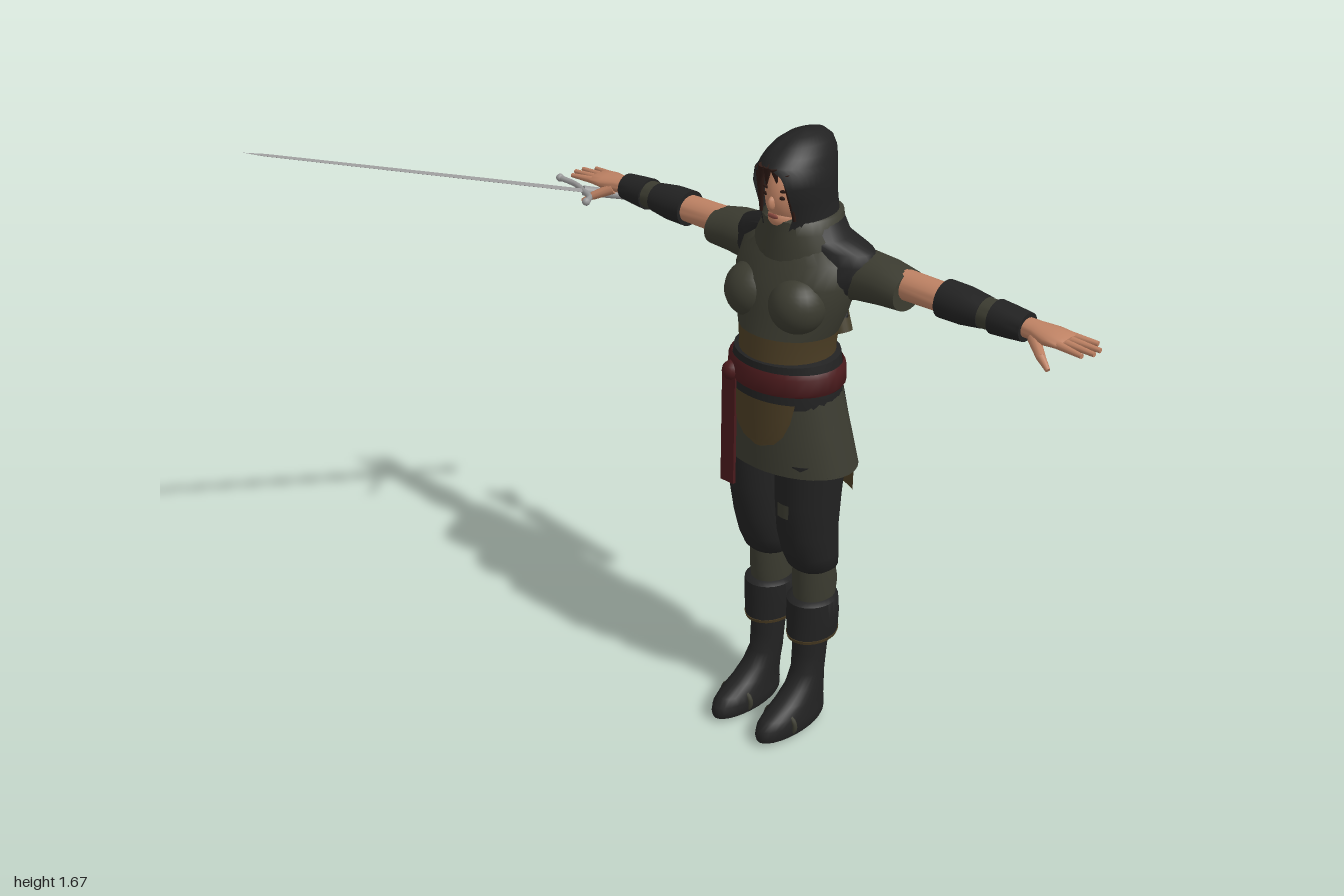
import * as THREE from 'three';
import { toCreasedNormals } from 'three/addons/utils/BufferGeometryUtils.js';

const mat = (name, color) => new THREE.MeshStandardMaterial({ name, color, side: THREE.DoubleSide });
const M = {
  dark: mat('charcoal cloth', 0x222222), olive: mat('olive cloth', 0x3b3b30), brown: mat('brown leather', 0x4b3d24),
  red: mat('dark red sash', 0x4a1a1c), skin: mat('skin', 0xbd8163), steel: mat('steel', 0x9a9a9a),
  hair: mat('dark hair', 0x2c1914), quiver: mat('quiver hide', 0x453f2c), lips: mat('lips', 0x8a4a40),
};
const TAU = Math.PI * 2;

function mesh(parent, name, geo, material, pos = [0, 0, 0]) {
  const m = new THREE.Mesh(geo, material);
  m.name = name;
  m.position.set(...pos);
  parent.add(m);
  return m;
}

// Skin over elliptical sections listed bottom to top: [y, cx, cz, rx, rz, startAngle, endAngle]; angle 0 faces +z
function loft(sections, n = 28, caps = false) {
  let s = sections;
  if (caps) {
    const a = [...s[0]], b = [...s[s.length - 1]];
    a[3] = a[4] = b[3] = b[4] = 0;
    s = [a, ...s, b];
  }
  const pos = [], idx = [];
  s.forEach(([y, cx, cz, rx, rz, a0 = 0, a1 = TAU], j) => {
    for (let i = 0; i <= n; i++) {
      const a = a0 + (a1 - a0) * i / n;
      pos.push(cx + rx * Math.sin(a), y, cz + rz * Math.cos(a));
      if (j && i < n) {
        const p = (j - 1) * (n + 1) + i, q = p + n + 1;
        idx.push(p, p + 1, q + 1, p, q + 1, q);
      }
    }
  });
  const g = new THREE.BufferGeometry();
  g.setAttribute('position', new THREE.Float32BufferAttribute(pos, 3));
  g.setIndex(idx);
  return toCreasedNormals(g, 0.95);
}

function ball(parent, name, material, pos, r, seg = 24) {
  const m = mesh(parent, name, new THREE.SphereGeometry(1, seg, Math.round(seg * 0.7)), material, pos);
  m.scale.set(...r);
  return m;
}

// Tapered round bar between two points
function bar(parent, name, material, a, b, r0, r1, seg = 10) {
  const A = new THREE.Vector3(...a), B = new THREE.Vector3(...b), d = B.clone().sub(A);
  const m = mesh(parent, name, new THREE.CylinderGeometry(r1, r0, d.length(), seg), material);
  m.position.copy(A).add(B).multiplyScalar(0.5);
  m.quaternion.setFromUnitVectors(new THREE.Vector3(0, 1, 0), d.normalize());
  return m;
}

function buildHead(body) {
  const head = new THREE.Group();
  head.name = 'head';
  body.add(head);
  ball(head, 'face', M.skin, [0, 1.51, -0.272], [0.062, 0.088, 0.085]);
  ball(head, 'jaw', M.skin, [0, 1.455, -0.25], [0.043, 0.035, 0.057]);
  ball(head, 'nose', M.skin, [0, 1.498, -0.19], [0.009, 0.018, 0.014], 12);
  ball(head, 'lips', M.lips, [0, 1.464, -0.194], [0.017, 0.006, 0.004], 12);
  mesh(head, 'neck', new THREE.CylinderGeometry(0.045, 0.05, 0.12, 18), M.skin, [0, 1.42, -0.29]);
  for (const s of [-1, 1]) {
    ball(head, 'eye', M.hair, [s * 0.024, 1.515, -0.196], [0.011, 0.005, 0.004], 10);
    ball(head, 'brow', M.hair, [s * 0.025, 1.531, -0.198], [0.015, 0.004, 0.004], 10).rotation.z = s * 0.15;
    bar(head, 'sideHair', M.hair, [s * 0.04, 1.58, -0.19], [s * 0.053, 1.46, -0.212], 0.012, 0.004);
  }
  [-0.022, -0.006, 0.014].forEach((x, i) =>
    bar(head, 'fringe', M.hair, [x, 1.592, -0.178], [x * 1.6 - 0.006, 1.53 + i * 0.012, -0.186], 0.011, 0.002));
  // Hood, open around the face
  const hood = [
    [1.41, -0.305, 0.095, 0.105, 0.35], [1.46, -0.295, 0.085, 0.105, 0.6], [1.5, -0.283, 0.086, 0.11, 0.68],
    [1.545, -0.273, 0.088, 0.117, 0.64], [1.575, -0.274, 0.084, 0.117, 0.5], [1.592, -0.282, 0.077, 0.112, 0.02],
    [1.61, -0.29, 0.07, 0.104, 0], [1.632, -0.3, 0.055, 0.086, 0], [1.648, -0.305, 0.034, 0.06, 0], [1.655, -0.308, 0, 0, 0],
  ].map(([y, cz, rx, rz, g]) => [y, 0, cz, rx, rz, g, TAU - g]);
  mesh(head, 'hood', loft(hood, 36), M.dark);
}

function buildTorso(body) {
  mesh(body, 'waistWrap', loft([[1.07, 0, -0.263, 0.125, 0.12], [1.12, 0, -0.263, 0.124, 0.119],
    [1.17, 0, -0.265, 0.132, 0.118]]), M.brown);
  mesh(body, 'tunicTop', loft([[1.165, 0, -0.265, 0.132, 0.12], [1.225, 0, -0.277, 0.153, 0.122], [1.3, 0, -0.29, 0.17, 0.122],
    [1.355, 0, -0.305, 0.165, 0.108], [1.4, 0, -0.31, 0.11, 0.095]], 32, true), M.olive);
  for (const s of [-1, 1]) ball(body, 'bust', M.olive, [s * 0.072, 1.25, -0.213], [0.074, 0.074, 0.074]);
  mesh(body, 'shoulderMantle', loft([[1.27, 0, -0.315, 0.165, 0.112], [1.32, 0, -0.325, 0.21, 0.108], [1.355, 0, -0.33, 0.22, 0.095],
    [1.383, 0, -0.325, 0.2, 0.085], [1.403, 0, -0.318, 0.125, 0.09], [1.44, 0, -0.31, 0.095, 0.1]], 32), M.dark);
  mesh(body, 'cowl', loft([[1.34, 0, -0.31, 0.13, 0.115], [1.385, 0, -0.308, 0.122, 0.112], [1.42, 0, -0.306, 0.102, 0.108],
    [1.452, 0, -0.306, 0.093, 0.107], [1.458, 0, -0.3, 0.08, 0.09, 0, TAU]], 32), M.olive);
  // Belt layers and skirt
  mesh(body, 'belt', loft([[0.985, 0, -0.263, 0.152, 0.126], [1.03, 0, -0.263, 0.154, 0.127],
    [1.1, 0, -0.263, 0.14, 0.126], [1.105, 0, -0.263, 0.12, 0.11]]), M.dark);
  mesh(body, 'sash', loft([[1.022, 0, -0.263, 0.155, 0.129], [1.03, 0, -0.263, 0.161, 0.132], [1.07, 0, -0.263, 0.158, 0.132],
    [1.082, 0, -0.263, 0.15, 0.127]], 32), M.red);
  const skirtAt = (y, grow, mid, half) => {
    const t = (1.02 - y) / 0.223;
    return [y, 0, -0.263 - 0.024 * t, 0.148 + 0.049 * t + grow, 0.124 + 0.014 * t + grow, mid - half, mid + half];
  };
  mesh(body, 'skirt', loft([1, 0.797, 0.8, 0.9, 1.02].slice(1).map(y => skirtAt(y, 0, 0, Math.PI)), 36), M.olive);
  mesh(body, 'skirtUnderside', loft([[0.8, 0, -0.287, 0, 0], [0.801, 0, -0.287, 0.196, 0.137]]), M.dark);
  mesh(body, 'frontDrape', loft([[0.87, 0.04], [0.885, 0.27], [0.91, 0.42], [0.95, 0.56], [1, 0.68]]
    .map(([y, h]) => skirtAt(y, 0.004, 0.08, h)), 16), M.brown);
  // Back panel with a leather edge
  const panel = (low, grow, extra) => loft([low, 0.8, 0.9, 1].map(y => {
    const s = skirtAt(Math.max(y, 0.8), grow, Math.PI, 0.62 + extra);
    s[0] = y;
    return s;
  }), 16);
  mesh(body, 'backPanelTrim', panel(0.68, 0.003, 0.05), M.brown);
  mesh(body, 'backPanel', panel(0.69, 0.007, 0), M.dark);
  mesh(body, 'sashTail', new THREE.BoxGeometry(0.044, 0.31, 0.009), M.red, [-0.088, 0.88, -0.147]);
  mesh(body, 'sashKnot', new THREE.SphereGeometry(0.026, 14, 10), M.red, [-0.088, 1.04, -0.155]);
}

function buildArm() {
  const arm = new THREE.Group();
  const piece = (name, material, rings, caps = true) => {
    const g = loft(rings.map(([x, y, ry, rz]) => [x, -y, -0.342, ry, rz]), 22, caps);
    mesh(arm, name, g.rotateZ(-Math.PI / 2), material);
  };
  piece('sleeve', M.olive, [[0.1, 1.305, 0.075, 0.075], [0.17, 1.318, 0.064, 0.07], [0.24, 1.32, 0.058, 0.066], [0.305, 1.315, 0.049, 0.062]]);
  piece('upperArm', M.skin, [[0.28, 1.33, 0.037, 0.042], [0.43, 1.33, 0.035, 0.04]]);
  piece('elbowGuard', M.dark, [[0.412, 1.33, 0.047, 0.05], [0.47, 1.33, 0.046, 0.05], [0.527, 1.33, 0.038, 0.043]]);
  piece('forearmWrap', M.olive, [[0.52, 1.33, 0.037, 0.041], [0.57, 1.33, 0.036, 0.039]]);
  piece('wristGuard', M.dark, [[0.558, 1.33, 0.042, 0.045], [0.6, 1.33, 0.039, 0.042], [0.643, 1.33, 0.035, 0.037]]);
  piece('palm', M.skin, [[0.63, 1.33, 0.024, 0.027], [0.67, 1.33, 0.022, 0.032], [0.71, 1.33, 0.02, 0.043],
    [0.745, 1.33, 0.015, 0.043], [0.755, 1.33, 0.01, 0.038]]);
  // Fingers fan out, thumb drops forward
  [0.805, 0.828, 0.83, 0.815].forEach((x, i) => {
    const k = i - 1.5;
    bar(arm, 'finger', M.skin, [0.735, 1.33, -0.342 + k * 0.02], [x, 1.328, -0.342 + k * 0.027], 0.0105, 0.006);
  });
  bar(arm, 'thumb', M.skin, [0.675, 1.322, -0.32], [0.72, 1.298, -0.288], 0.015, 0.011);
  bar(arm, 'thumbTip', M.skin, [0.718, 1.299, -0.289], [0.748, 1.28, -0.276], 0.011, 0.006);
  return arm;
}

function buildLeg() {
  const leg = new THREE.Group(), c = 0.075;
  mesh(leg, 'trouserLeg', loft([[0.475, c, -0.305, 0.055, 0.055], [0.488, c, -0.303, 0.07, 0.066], [0.53, c, -0.292, 0.074, 0.077],
    [0.6, c, -0.278, 0.077, 0.085], [0.7, 0.08, -0.27, 0.08, 0.094], [0.83, 0.085, -0.268, 0.085, 0.1]], 26, true), M.dark);
  mesh(leg, 'shinWrap', loft([[0.36, c, -0.317, 0.05, 0.06], [0.42, c, -0.317, 0.054, 0.068], [0.49, c, -0.308, 0.052, 0.06]]), M.olive);
  mesh(leg, 'bootCuff', loft([[0.265, c, -0.315, 0.061, 0.078], [0.32, c, -0.314, 0.066, 0.077], [0.375, c, -0.31, 0.064, 0.075],
    [0.383, c, -0.31, 0.052, 0.064]], 26, true), M.dark);
  mesh(leg, 'cuffTrim', loft([[0.257, c, -0.315, 0.06, 0.077], [0.267, c, -0.315, 0.063, 0.08]], 26, true), M.brown);
  mesh(leg, 'boot', loft([[0, 0.08, -0.228, 0.048, 0.124], [0.012, 0.08, -0.228, 0.053, 0.128], [0.035, 0.08, -0.23, 0.052, 0.126],
    [0.055, 0.08, -0.24, 0.049, 0.114], [0.08, 0.079, -0.265, 0.046, 0.088], [0.11, 0.078, -0.287, 0.044, 0.064],
    [0.15, c, -0.302, 0.044, 0.048], [0.21, c, -0.306, 0.045, 0.049], [0.28, c, -0.312, 0.047, 0.052]], 28, true), M.dark);
  const strap = mesh(leg, 'bootStrap', new THREE.TorusGeometry(0.047, 0.007, 8, 24), M.olive, [0.08, 0.03, -0.19]);
  strap.scale.set(1.08, 0.8, 1);
  return leg;
}

function buildQuiver(body) {
  const a = [0.02, 1.08, -0.455], b = [-0.1, 1.395, -0.47];
  bar(body, 'quiver', M.quiver, a, b, 0.027, 0.03, 20);
  bar(body, 'quiverRim', M.dark, [-0.093, 1.377, -0.469], [-0.102, 1.4, -0.47], 0.032, 0.032, 20);
  [[-0.175, 1.55, -0.46], [-0.135, 1.56, -0.495], [-0.11, 1.535, -0.455], [-0.15, 1.53, -0.5], [-0.125, 1.55, -0.475]].forEach(t => {
    const arrow = bar(body, 'arrow', M.dark, [-0.09, 1.36, -0.469], t, 0.004, 0.004, 6);
    const L = arrow.geometry.parameters.height;
    for (let k = 0; k < 3; k++) {
      const vane = new THREE.Shape([[0, L / 2 - 0.08], [0.017, L / 2 - 0.06], [0.02, L / 2 + 0.01], [0, L / 2 - 0.01]].map(p => new THREE.Vector2(...p)));
      mesh(arrow, 'fletching', new THREE.ShapeGeometry(vane), M.dark).rotation.y = k * TAU / 3;
    }
  });
  // Strap over the shoulder to the quiver
  const path = new THREE.CatmullRomCurve3([[0.09, 1.17, -0.375], [0.02, 1.24, -0.425], [-0.08, 1.34, -0.44]].map(p => new THREE.Vector3(...p)));
  mesh(body, 'quiverStrap', new THREE.TubeGeometry(path, 16, 0.009, 6), M.dark);
}

function buildSword() {
  const sword = new THREE.Group();
  sword.name = 'sword';
  // Blade runs along local y, guard along local x
  const blade = mesh(sword, 'blade', new THREE.CylinderGeometry(0.014, 0.021, 0.85, 4), M.steel, [0, 0.425, 0]);
  const tip = mesh(sword, 'bladeTip', new THREE.ConeGeometry(0.014, 0.06, 4), M.steel, [0, 0.88, 0]);
  for (const m of [blade, tip]) {
    m.geometry = toCreasedNormals(m.geometry, 0.3);
    m.scale.z = 0.25;
  }
  const curve = new THREE.CatmullRomCurve3([[-0.125, 0.03, 0], [-0.07, 0.004, 0], [0, 0, 0], [0.07, 0.004, 0], [0.125, 0.03, 0]]
    .map(p => new THREE.Vector3(...p)));
  mesh(sword, 'crossGuard', new THREE.TubeGeometry(curve, 24, 0.008, 8), M.steel);
  for (const s of [-1, 1]) ball(sword, 'guardEnd', M.steel, [s * 0.125, 0.03, 0], [0.011, 0.011, 0.011], 10);
  bar(sword, 'grip', M.steel, [0, -0.22, 0], [0, 0, 0], 0.011, 0.014, 12);
  ball(sword, 'pommel', M.steel, [0, -0.232, 0], [0.023, 0.025, 0.02], 14);
  const y = new THREE.Vector3(-0.532, 0.26, 0.997).normalize(), x = new THREE.Vector3(0.23, 0.02, 0.11);
  x.addScaledVector(y, -x.dot(y)).normalize();
  sword.quaternion.setFromRotationMatrix(new THREE.Matrix4().makeBasis(x, y, new THREE.Vector3().crossVectors(x, y)));
  sword.position.set(-0.584, 1.307, -0.28);
  return sword;
}

export function createModel() {
  const model = new THREE.Group();
  model.name = 'hoodedArcher';
  const body = new THREE.Group();
  body.name = 'body';
  body.position.x = 0.165;
  model.add(body);
  buildHead(body);
  buildTorso(body);
  for (const s of [1, -1]) {
    const arm = buildArm(), leg = buildLeg();
    arm.name = s > 0 ? 'leftArm' : 'rightArm';
    leg.name = s > 0 ? 'leftLeg' : 'rightLeg';
    arm.scale.x = leg.scale.x = s;
    body.add(arm, leg);
  }
  mesh(body, 'thighPatch', loft([[0.67, 0.08, -0.27, 0.083, 0.098, -0.25, 0.2], [0.71, 0.08, -0.27, 0.084, 0.099, -0.25, 0.2]], 6), M.olive);
  buildQuiver(body);
  model.add(buildSword());
  return model;
}
